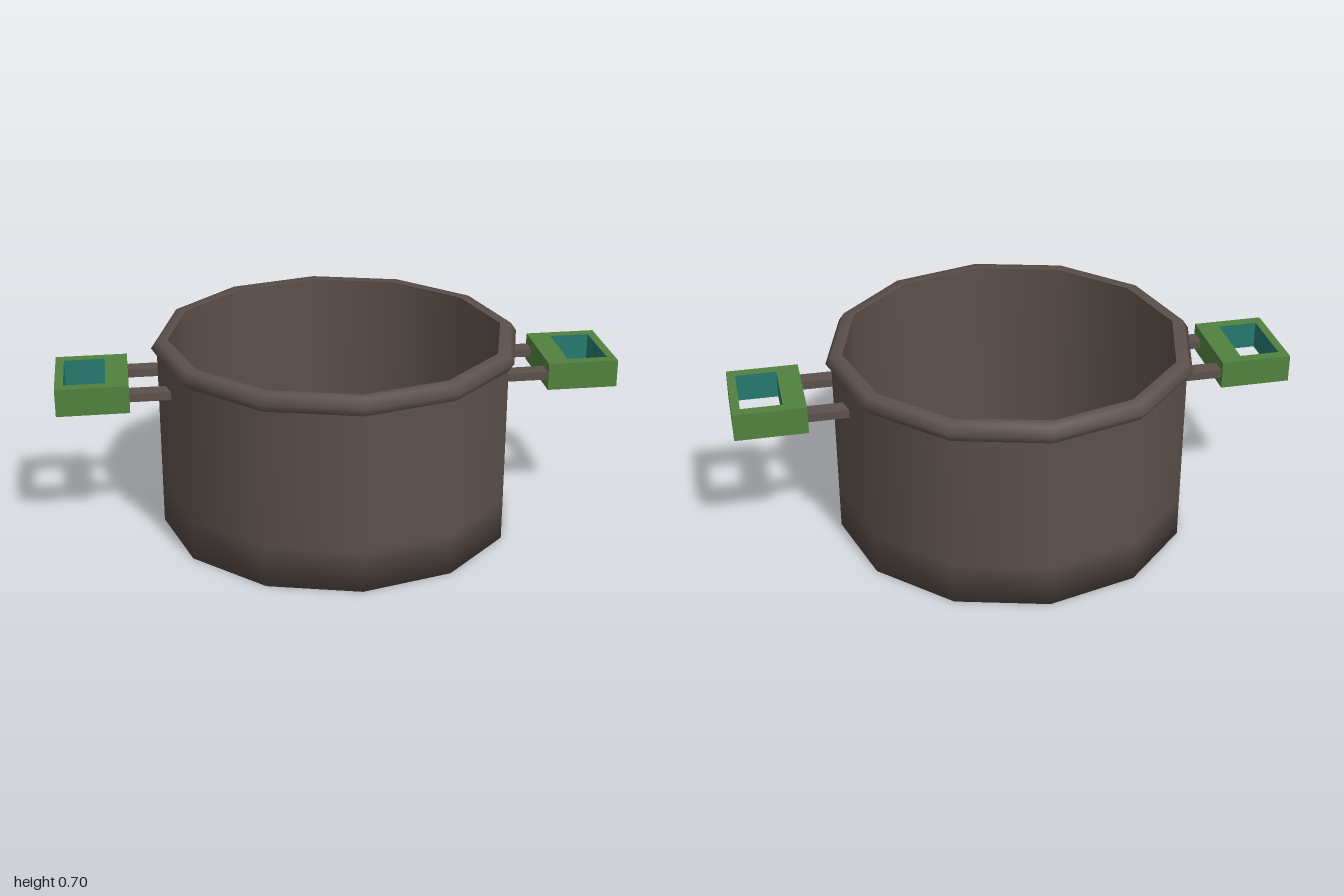
import * as THREE from 'three';

const SIDES = 12;

function material(name, color, options = {}) {
  const m = new THREE.MeshStandardMaterial({ color, ...options });
  m.name = name;
  return m;
}

export function createModel() {
  const metal = material('brownMetal', 0x5c504b);
  const green = material('greenGrip', 0x52823f);
  const teal = material('tealLining', 0x267a6e);

  const model = new THREE.Group();
  model.name = 'cookingPot';

  const add = (parent, name, geometry, mat) => {
    const mesh = new THREE.Mesh(geometry, mat);
    mesh.name = name;
    parent.add(mesh);
    return mesh;
  };

  // Twelve-sided surfaces of revolution, smooth within each part
  const lathe = (name, profile) =>
    add(model, name, new THREE.LatheGeometry(profile.map(([r, y]) => new THREE.Vector2(r, y)), SIDES), metal);

  lathe('outerShell', [[0, 0], [0.64, 0], [0.64, 0.15], [0.64, 0.645]]);
  lathe('rim', [[0.64, 0.645], [0.66, 0.675], [0.64, 0.705], [0.6, 0.705]]);
  lathe('innerWall', [[0.6, 0.705], [0.6, 0.03]]);
  lathe('innerFloor', [[0.6, 0.03], [0, 0.03]]);

  // Rectangular grip outline with a finger opening, laid flat
  const corners = (x0, x1, z) => [[x0, -z], [x1, -z], [x1, z], [x0, z]].map(([x, y]) => new THREE.Vector2(x, y));
  const outline = new THREE.Shape(corners(0.745, 1, 0.16));
  outline.holes.push(new THREE.Path(corners(0.825, 0.97, 0.12)));
  const grip = new THREE.ExtrudeGeometry(outline, { depth: 0.1, bevelEnabled: false });
  grip.rotateX(-Math.PI / 2).translate(0, 0.5, 0);

  // Green outside, teal on the walls of the opening (the last four quads)
  const total = grip.attributes.position.count;
  grip.clearGroups();
  grip.addGroup(0, total - 24, 0);
  grip.addGroup(total - 24, 24, 1);

  // One handle on each side: two metal arms and a grip
  for (const [name, turn] of [['leftHandle', 0], ['rightHandle', Math.PI]]) {
    const handle = new THREE.Group();
    handle.name = name;
    handle.rotation.y = turn;
    add(handle, 'grip', grip, [green, teal]);
    for (const z of [-0.117, 0.117]) {
      const arm = add(handle, 'arm', new THREE.BoxGeometry(0.16, 0.03, 0.06), metal);
      arm.position.set(0.675, 0.55, z);
    }
    model.add(handle);
  }

  return model;
}
